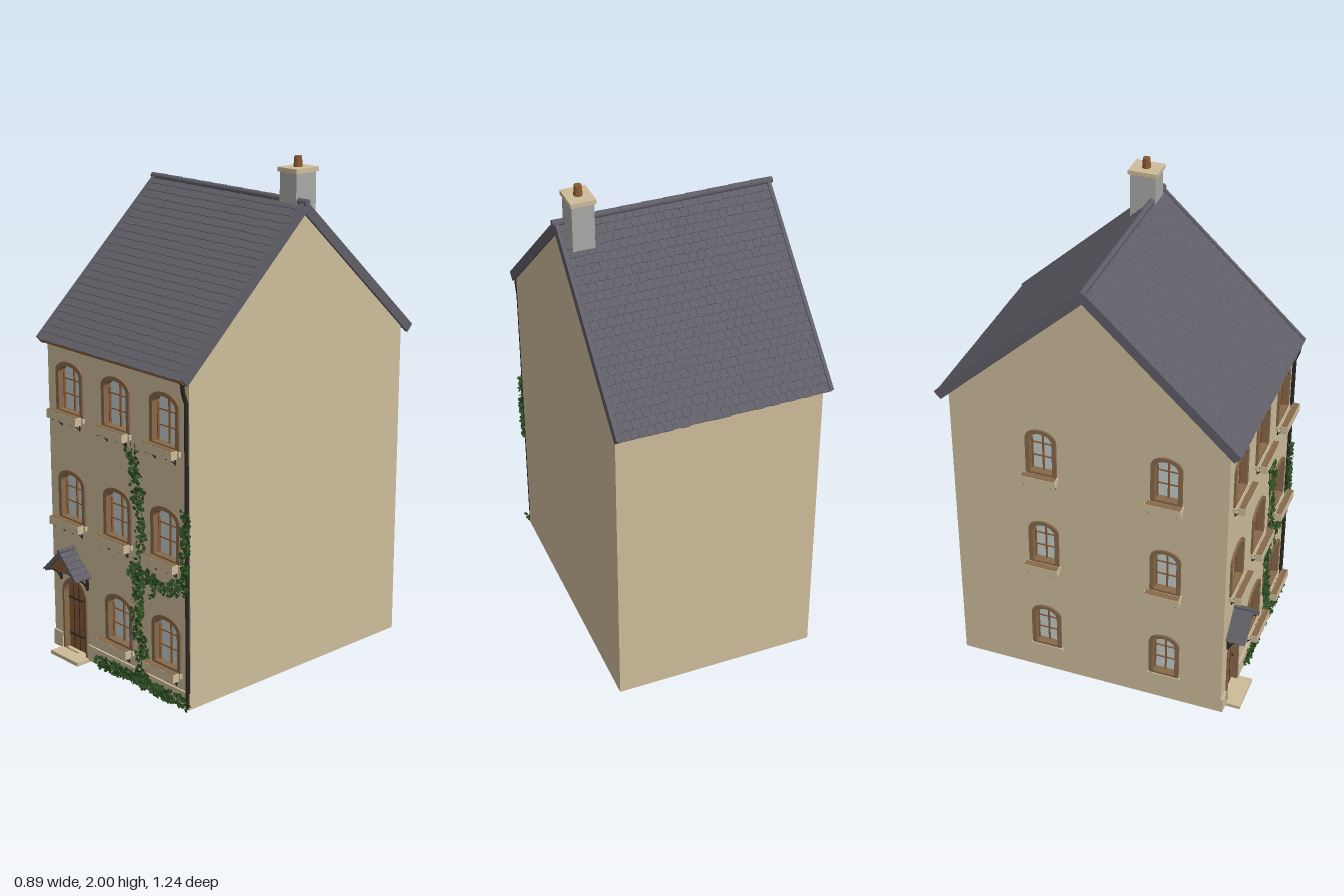
import * as THREE from 'three';
import { mergeGeometries } from 'three/addons/utils/BufferGeometryUtils.js';

const mat = (name, color, side = THREE.FrontSide) => {
  const m = new THREE.MeshStandardMaterial({ color, side });
  m.name = name;
  return m;
};

export function createModel() {
  const M = {
    stucco: mat('cream stucco', 0xcdbc9a), slate: mat('slate', 0x5f5e66),
    stone: mat('grey stone', 0xa8a8a6), wood: mat('brown wood', 0x8a5a34),
    trim: mat('taupe trim', 0x86694b), glass: mat('pale glass', 0xc2cdca),
    iron: mat('dark iron', 0x2c2724), leaf: mat('ivy green', 0x2c4f22, THREE.DoubleSide),
    inside: mat('interior plaster', 0xc09a78),
  };
  const house = new THREE.Group();
  house.name = 'townHouse';

  let seed = 7;
  const rnd = () => (seed = (seed * 16807) % 2147483647) / 2147483647;
  const spread = (s) => (rnd() - 0.5) * 2 * s;

  // One named mesh from one or several geometries
  const add = (parent, name, material, ...geos) => {
    const flat = geos.map((g) => (g.index ? g.toNonIndexed() : g));
    const m = new THREE.Mesh(flat.length > 1 ? mergeGeometries(flat) : flat[0], material);
    m.name = name;
    parent.add(m);
    return m;
  };
  // Box from its two opposite corners
  const box = (x0, x1, y0, y1, z0, z1) => new THREE.BoxGeometry(x1 - x0, y1 - y0, z1 - z0)
    .translate((x0 + x1) / 2, (y0 + y1) / 2, (z0 + z1) / 2);
  const extrude = (shape, depth, z = 0) =>
    new THREE.ExtrudeGeometry(shape, { depth, bevelEnabled: false, curveSegments: 12 }).translate(0, 0, z);
  const tube = (pts, r, n = 12) => new THREE.TubeGeometry(
    new THREE.CatmullRomCurve3(pts.map((p) => new THREE.Vector3(...p)), false, 'catmullrom', 0.1), n, r, 6);
  // Arched opening, bottom centre at (cx, cy)
  const arch = (w, h, rise, cx = 0, cy = 0, Type = THREE.Shape) => {
    const s = new Type();
    s.moveTo(cx - w / 2, cy);
    s.lineTo(cx + w / 2, cy);
    s.lineTo(cx + w / 2, cy + h - rise);
    s.absellipse(cx, cy + h - rise, w / 2, rise, 0, Math.PI, false);
    s.closePath();
    return s;
  };
  const outline = (pts) => new THREE.Shape(pts.map((p) => new THREE.Vector2(...p)));

  const XL = -0.39, XR = 0.425, ZF = 0.54, ZB = -0.57, T = 0.04, BASE = 0.01, RIDGE = -0.02;
  const rows = [0.135, 0.565, 1.0], columns = [-0.255, 0.02, 0.295], sideColumns = [-0.2, 0.3];
  const WIN_H = 0.21, RISE = 0.045, DOOR_X = -0.255;

  // Walls with openings
  const front = outline([[XL + T, BASE], [XR - T, BASE], [XR - T, 1.3], [XL + T, 1.3]]);
  const gable = () => outline([[ZB, BASE], [ZF, BASE], [ZF, 1.295], [RIDGE, 1.815], [ZB, 1.3]]);
  const leftGable = gable();
  rows.forEach((y, i) => {
    columns.forEach((x, j) => {
      if (i || j) front.holes.push(arch(0.16, WIN_H, RISE, x, y, THREE.Path));
    });
    sideColumns.forEach((z) => leftGable.holes.push(arch(0.125, WIN_H, RISE, z, y, THREE.Path)));
  });
  front.holes.push(arch(0.15, 0.315, 0.075, DOOR_X, 0.015, THREE.Path));
  add(house, 'frontWall', M.stucco, extrude(front, T, ZF - T));
  add(house, 'backWall', M.stucco, box(XL + T, XR - T, BASE, 1.3, ZB, ZB + T));
  add(house, 'windowedGableWall', M.stucco, extrude(leftGable, T).rotateY(-Math.PI / 2).translate(XL + T, 0, 0));
  add(house, 'plainGableWall', M.stucco, extrude(gable(), T).rotateY(-Math.PI / 2).translate(XR, 0, 0));
  add(house, 'plinth', M.stucco,
    box(XL, DOOR_X - 0.08, BASE, 0.075, ZF, ZF + 0.008), box(DOOR_X + 0.08, XR, BASE, 0.075, ZF, ZF + 0.008));

  // Interior seen from underneath
  add(house, 'interior', M.inside,
    box(XL + T, XR - T, 0.42, 0.44, ZB + T, ZF - T),
    box(XL + T, XR - T, 0.02, 0.42, 0.22, 0.24),
    box(XL + T, XR - T, 0.012, 0.03, 0.22, ZF - T),
    box(XL + T, -0.15, 0.02, 0.38, 0.1, 0.22),
    box(XL + T, -0.12, 0.02, 0.05, -0.25, -0.05));

  // Window, facing local +z with its bottom centre at the origin
  const makeWindow = (w, planter) => {
    const g = new THREE.Group();
    g.name = 'window';
    const iw = w - 0.034, ih = WIN_H - 0.03;
    const ring = arch(w, WIN_H, RISE);
    ring.holes.push(arch(iw, ih, RISE * 0.8, 0, 0.014, THREE.Path));
    add(g, 'windowSurround', M.trim, extrude(ring, 0.045, -0.037));
    add(g, 'windowGlass', M.glass, extrude(arch(iw, ih, RISE * 0.8, 0, 0.014), 0.005, -0.03));
    const bars = [box(-0.003, 0.003, 0.014, ih + 0.012, -0.026, -0.018)];
    for (const f of [0.33, 0.66]) bars.push(box(-iw / 2, iw / 2, f * ih + 0.012, f * ih + 0.016, -0.026, -0.02));
    for (const s of [-1, 1]) bars.push(box(s * iw / 2 - 0.004, s * iw / 2 + 0.004, 0.014, ih - 0.025, -0.026, -0.016));
    add(g, 'glazingBars', M.wood, ...bars);
    add(g, 'sill', M.stucco, box(-w / 2 - 0.005, w / 2 + 0.005, -0.014, 0.004, -0.02, 0.012));
    if (planter) {
      // Window box on two iron brackets
      const p = w / 2 + 0.009;
      add(g, 'windowBox', M.stucco, box(-p, p, -0.017, 0.015, 0.022, 0.05));
      add(g, 'windowBoxSoil', M.trim, box(-p + 0.003, p - 0.003, 0.015, 0.017, 0.024, 0.048));
      const irons = [];
      for (const s of [-0.055, 0.055]) {
        irons.push(box(s - 0.002, s + 0.002, -0.021, -0.017, 0, 0.048), box(s - 0.002, s + 0.002, -0.052, -0.017, 0, 0.004));
        irons.push(tube([[s, -0.05, 0.002], [s, -0.03, 0.02], [s, -0.019, 0.044]], 0.002, 4));
      }
      add(g, 'windowBoxBrackets', M.iron, ...irons);
    }
    house.add(g);
    return g;
  };
  rows.forEach((y, i) => {
    columns.forEach((x, j) => {
      if (i || j) makeWindow(0.16, true).position.set(x, y, ZF);
    });
    sideColumns.forEach((z) => {
      const g = makeWindow(0.125, i > 0);
      g.position.set(XL, y, z);
      g.rotation.y = -Math.PI / 2;
    });
  });

  // Door with planks, hinges and step
  const door = new THREE.Group();
  door.name = 'frontDoor';
  door.position.set(DOOR_X, 0.015, ZF);
  house.add(door);
  const doorRing = arch(0.15, 0.315, 0.075);
  doorRing.holes.push(arch(0.13, 0.303, 0.065, 0, 0, THREE.Path));
  add(door, 'doorFrame', M.trim, extrude(doorRing, 0.045, -0.038));
  add(door, 'doorLeaf', M.wood, extrude(arch(0.13, 0.303, 0.065), 0.012, -0.03));
  const seams = [-0.033, 0, 0.033].map((x) => box(x - 0.0015, x + 0.0015, 0, 0.288 - Math.abs(x) * 0.4, -0.018, -0.0165));
  add(door, 'doorIronwork', M.iron, ...seams,
    box(-0.06, 0.03, 0.06, 0.066, -0.018, -0.013), box(-0.06, 0.03, 0.215, 0.221, -0.018, -0.013),
    new THREE.SphereGeometry(0.005, 8, 6).translate(0.048, 0.14, -0.012));
  add(house, 'doorStep', M.stucco, box(DOOR_X - 0.085, DOOR_X + 0.085, 0, 0.015, ZF - 0.04, 0.605));

  // Tiled slope: ridge at the origin, running down local +z
  const slope = (parent, name, width, length, nRow, nCol, thick, rotX) => {
    const g = new THREE.Group();
    g.name = name;
    g.rotation.x = rotX;
    parent.add(g);
    const tiles = [], dz = length / nRow, dx = width / nCol;
    for (let r = 0; r < nRow; r++) {
      const shift = r % 2 ? dx / 2 : 0;
      for (let c = 0; c < nCol + (shift ? 1 : 0); c++) {
        const x0 = Math.max(-width / 2, -width / 2 + c * dx - shift);
        const x1 = Math.min(width / 2, -width / 2 + (c + 1) * dx - shift);
        tiles.push(new THREE.BoxGeometry((x1 - x0) * 0.97, 0.005, dz * 1.2).rotateX(-0.09 + spread(0.012))
          .translate((x0 + x1) / 2, -0.001, (r + 0.5) * dz + spread(0.0015)));
      }
    }
    add(g, 'roofTiles', M.slate, ...tiles);
    add(g, 'roofDeck', M.slate, box(-width / 2, width / 2, -thick, -0.003, 0, length - 0.006));
    return g;
  };

  // Main roof with verges and ridge
  const roof = new THREE.Group();
  roof.name = 'roof';
  roof.position.set(0.016, 1.842, RIDGE);
  house.add(roof);
  for (const back of [0, 1]) {
    const half = new THREE.Group();
    half.name = back ? 'backRoof' : 'frontRoof';
    half.rotation.y = back * Math.PI;
    roof.add(half);
    const s = slope(half, 'roofSlope', 0.826, 0.818, 24, 26, 0.022, Math.atan2(0.56, 0.6));
    add(s, 'verges', M.slate, ...[-1, 1].map((k) => box(k * 0.414 - 0.007, k * 0.414 + 0.007, -0.03, 0.008, 0, 0.818)));
  }
  const ridgeTiles = [];
  for (let i = 0; i < 10; i++) {
    ridgeTiles.push(new THREE.CylinderGeometry(0.012, 0.0135, 0.086, 10).rotateZ(Math.PI / 2).translate(-0.387 + i * 0.086, 0, 0));
  }
  add(roof, 'ridgeTiles', M.slate, ...ridgeTiles);

  // Chimney
  add(house, 'chimneyStack', M.stone, box(0.315, 0.4, 1.72, 1.945, -0.108, -0.006));
  add(house, 'chimneyCap', M.stucco, box(0.309, 0.406, 1.943, 1.96, -0.115, 0.001));
  add(house, 'chimneyPot', M.wood, new THREE.CylinderGeometry(0.014, 0.017, 0.042, 14).translate(0.357, 1.979, -0.057));

  // Gutter and downpipe
  add(house, 'gutter', M.wood, new THREE.CylinderGeometry(0.009, 0.009, 0.82, 8).rotateZ(Math.PI / 2).translate(0.016, 1.277, 0.567));
  add(house, 'downpipe', M.iron,
    tube([[0.418, 1.275, 0.568], [0.418, 1.24, 0.565], [0.418, 1.19, 0.548], [0.418, 0.6, 0.548], [0.418, 0.02, 0.548]], 0.008, 30));

  // Door canopy
  const canopy = new THREE.Group();
  canopy.name = 'doorCanopy';
  canopy.position.set(DOOR_X, 0.46, 0.577);
  house.add(canopy);
  for (const k of [1, -1]) {
    const side = new THREE.Group();
    side.name = 'canopySide';
    side.rotation.y = k * Math.PI / 2;
    canopy.add(side);
    slope(side, 'canopySlope', 0.08, 0.14, 5, 4, 0.014, Math.atan2(0.095, 0.1));
  }
  add(canopy, 'canopyRidge', M.slate, new THREE.CylinderGeometry(0.009, 0.009, 0.084, 8).rotateX(Math.PI / 2));
  add(canopy, 'canopyGable', M.wood, extrude(outline([[-0.075, -0.09], [0.075, -0.09], [0, -0.018]]), 0.06, -0.035));
  const braces = [];
  for (const x of [-0.082, 0.082]) {
    braces.push(box(x - 0.004, x + 0.004, -0.155, -0.09, -0.037, -0.028), box(x - 0.004, x + 0.004, -0.1, -0.09, -0.037, 0.03));
    braces.push(tube([[x, -0.15, -0.032], [x, -0.12, -0.015], [x, -0.095, 0.02]], 0.004, 6));
  }
  add(canopy, 'canopyBrackets', M.iron, ...braces);

  // Ivy: leaves scattered along climbing stems [points, leaf count, spread]
  const stems = [
    [[[0.16, 0.02], [0.17, 0.15], [0.14, 0.28], [0.15, 0.42], [0.14, 0.5]], 330, 0.03],
    [[[0.14, 0.48], [0.17, 0.6], [0.16, 0.74], [0.14, 0.85], [0.13, 0.98]], 190, 0.028],
    [[[0.16, 0.75], [0.19, 0.81]], 22, 0.012],
    [[[0.13, 0.9], [0.09, 0.96]], 22, 0.014],
    [[[0.1, 0.46], [0.2, 0.48], [0.3, 0.46], [0.41, 0.5]], 170, 0.026],
    [[[0.25, 0.47], [0.23, 0.41]], 18, 0.012],
    [[[0.413, 0.48], [0.417, 0.62], [0.417, 0.78]], 210, 0.02],
    [[[-0.1, 0.03], [0.1, 0.04], [0.25, 0.035], [0.425, 0.035]], 420, 0.024],
  ];
  const leaves = [], vines = [];
  for (const [pts, count, width] of stems) {
    const curve = new THREE.CatmullRomCurve3(pts.map(([x, y]) => new THREE.Vector3(x, y, ZF + 0.006)));
    vines.push(new THREE.TubeGeometry(curve, 16, 0.003, 5));
    for (let i = 0; i < count; i++) {
      const p = curve.getPointAt(rnd());
      const x = Math.min(0.437, p.x + spread(width)), y = Math.max(0.012, p.y + spread(width));
      leaves.push(new THREE.CircleGeometry(0.006 + rnd() * 0.005, 5).rotateZ(rnd() * 6)
        .rotateX(spread(0.8)).rotateY(spread(0.8)).translate(x, y, ZF + 0.01 + rnd() * 0.014));
    }
  }
  add(house, 'ivyStems', M.trim, ...vines);
  add(house, 'ivyLeaves', M.leaf, ...leaves);

  return house;
}
